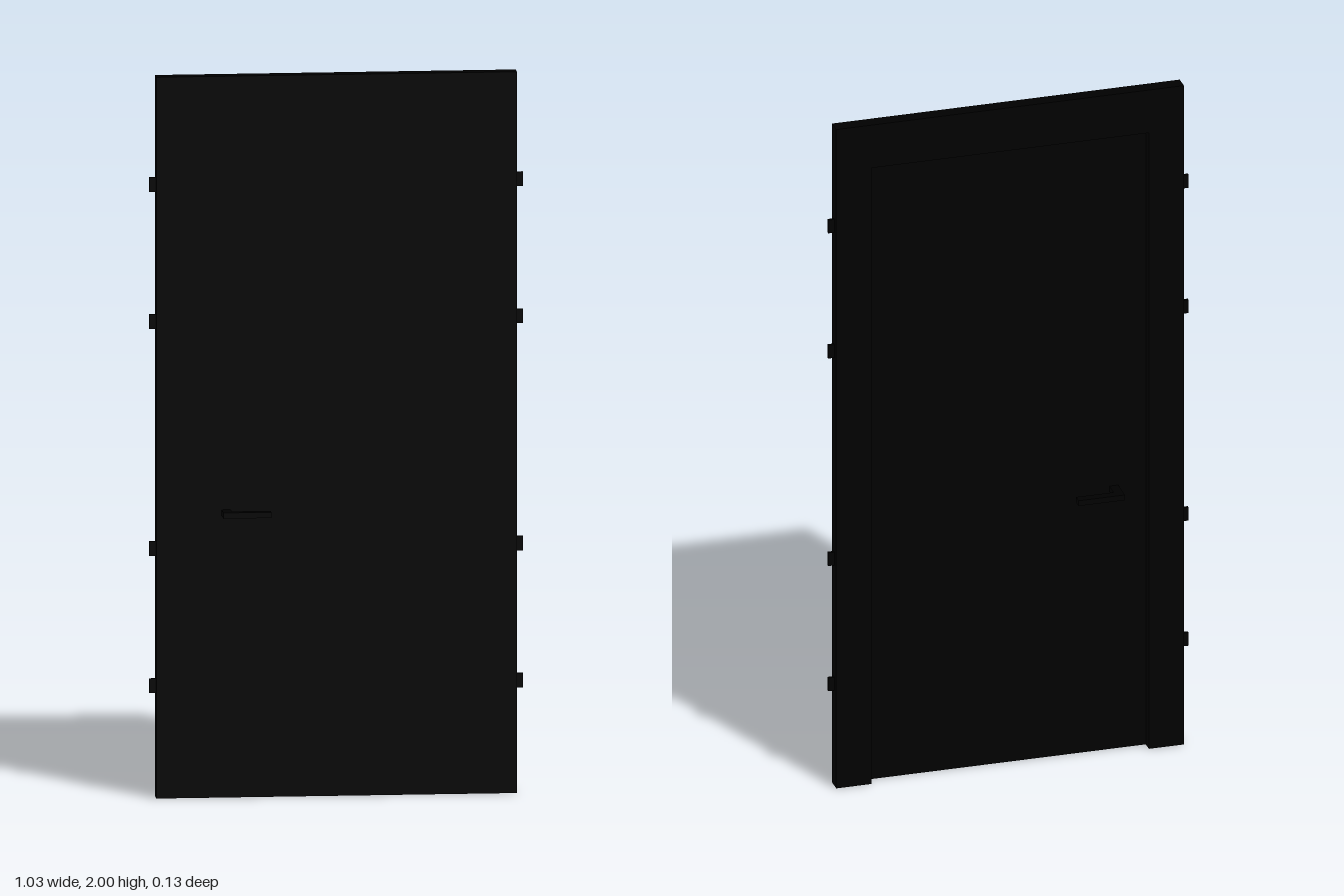
import * as THREE from 'three';

const black = new THREE.MeshStandardMaterial({ color: 0x000000 });

// Box given by its min and max corners
function box(name, [x0, y0, z0], [x1, y1, z1]) {
  const mesh = new THREE.Mesh(new THREE.BoxGeometry(x1 - x0, y1 - y0, z1 - z0), black);
  mesh.name = name;
  mesh.position.set((x0 + x1) / 2, (y0 + y1) / 2, (z0 + z1) / 2);
  return mesh;
}

export function createModel() {
  const door = new THREE.Group();
  door.name = 'door';

  const W = 0.496, H = 2, jamb = 0.1, head = 0.13;
  const back = -0.03, mid = 0, front = 0.01;

  // Flat leaf, flush across the whole front
  door.add(box('leaf', [-W, 0, mid], [W, H, front]));

  // Frame behind the leaf: two jambs and a head, open at the floor
  const profile = new THREE.Shape([
    [-W, 0], [-W + jamb, 0], [-W + jamb, H - head], [W - jamb, H - head],
    [W - jamb, 0], [W, 0], [W, H], [-W, H],
  ].map(([x, y]) => new THREE.Vector2(x, y)));
  const frame = new THREE.Mesh(
    new THREE.ExtrudeGeometry(profile, { depth: mid - back, bevelEnabled: false }), black);
  frame.name = 'frame';
  frame.position.z = back;
  door.add(frame);

  // Thin fixing tabs along both edges
  for (const y of [0.31, 0.69, 1.32, 1.7]) {
    for (const side of [-1, 1]) {
      const tab = box('fixingTab', [-0.02, -0.02, -0.004], [0.02, 0.02, 0.004]);
      tab.position.set(side * 0.494, y, -0.01);
      door.add(tab);
    }
  }

  // Spindle through the leaf with a lever on each face
  const handle = new THREE.Group();
  handle.name = 'handle';
  const y0 = 0.782, y1 = 0.798;
  handle.add(box('spindle', [-0.317, y0, -0.066], [-0.292, y1, 0.066]));
  handle.add(box('frontLever', [-0.292, y0, 0.041], [-0.185, y1, 0.066]));
  handle.add(box('backLever', [-0.292, y0, -0.066], [-0.185, y1, -0.041]));
  door.add(handle);

  return door;
}
